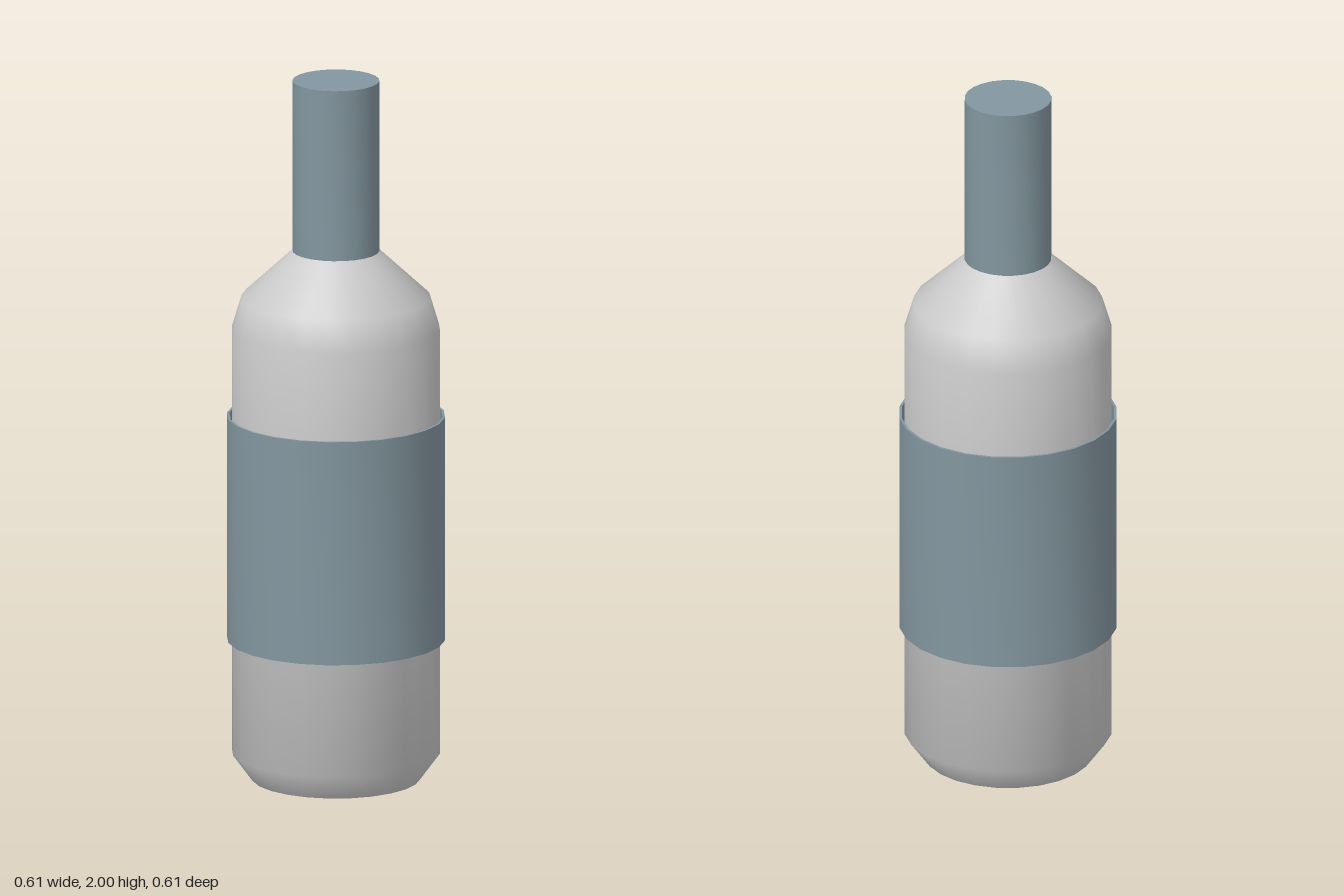
import * as THREE from 'three';
import { toCreasedNormals } from 'three/addons/utils/BufferGeometryUtils.js';

const SIDES = 24;

// Turned part from [radius, height] pairs, smooth except at sharp corners
function turned(name, profile, color) {
  const points = profile.map(([r, y]) => new THREE.Vector2(r, y));
  const geometry = toCreasedNormals(new THREE.LatheGeometry(points, SIDES), 0.77);
  const mesh = new THREE.Mesh(geometry, new THREE.MeshStandardMaterial({ color }));
  mesh.name = name;
  return mesh;
}

export function createModel() {
  const group = new THREE.Group();
  group.name = 'bottle';
  const grey = 0xcccccc, slate = 0x83969f;

  // Glass body: chamfered base, straight wall, sloping shoulder and hidden neck
  group.add(turned('body', [
    [0, 0], [0.235, 0], [0.29, 0.075], [0.29, 1.29], [0.263, 1.38],
    [0.118, 1.515], [0.115, 1.9], [0, 1.9],
  ], grey));

  // Label: thin sleeve standing slightly clear of the body, open at both ends
  group.add(turned('label', [
    [0.297, 0.4], [0.304, 0.4], [0.304, 1.04], [0.297, 1.04], [0.297, 0.4],
  ], slate));

  // Foil capsule covering the neck and mouth
  group.add(turned('neckFoil', [
    [0.112, 1.51], [0.121, 1.51], [0.121, 2], [0, 2],
  ], slate));

  return group;
}
